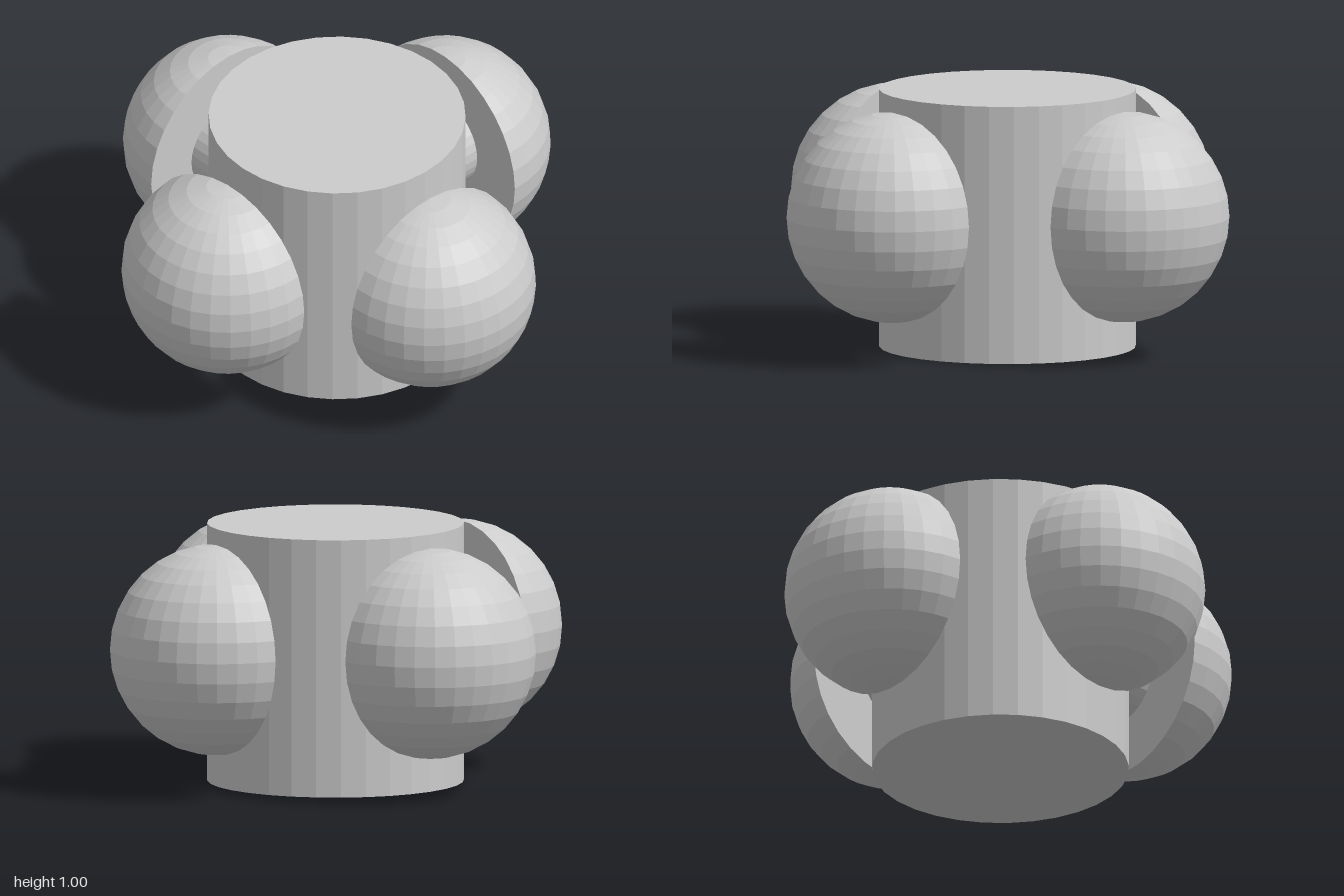
import * as THREE from 'three';

const RADIUS = 0.407;

export function createModel() {
  const model = new THREE.Group();
  model.name = 'drumWithDomes';
  const material = new THREE.MeshStandardMaterial({ color: 0xcccccc, flatShading: true });

  function add(parent, name, geometry, x = 0, y = 0, z = 0) {
    const mesh = new THREE.Mesh(geometry, material);
    mesh.name = name;
    mesh.position.set(x, y, z);
    parent.add(mesh);
    return mesh;
  }

  // Central drum
  add(model, 'drum', new THREE.CylinderGeometry(0.495, 0.495, 1, 32), -0.003, 0.5, 0.003);

  // Half spheres with vertical poles, closed by a flat disc on the inner side
  const domeGeometry = new THREE.SphereGeometry(RADIUS, 16, 16, 0, Math.PI);
  const discGeometry = new THREE.CircleGeometry(RADIUS, 32).rotateY(Math.PI);
  const pegGeometry = new THREE.CylinderGeometry(0.18, 0.18, 0.32, 32).rotateX(Math.PI / 2);

  // Each dome turns by its own slight yaw; its peg stays square to the drum
  const sides = [
    { name: 'front', turn: 0, yaw: 0.068, dome: [-0.005, 0.58], peg: [0.005, 0.465, 0.45] },
    { name: 'left', turn: Math.PI / 2, yaw: -0.024, dome: [0.59, 0.065], peg: [0.45, 0.55, 0.04] },
    { name: 'back', turn: Math.PI, yaw: -0.03, dome: [-0.022, -0.583], peg: [-0.015, 0.578, -0.45] },
    { name: 'right', turn: -Math.PI / 2, yaw: 0, dome: [-0.592, 0.025], peg: [-0.45, 0.55, 0.04] },
  ];

  for (const side of sides) {
    const dome = new THREE.Group();
    dome.name = side.name + 'Dome';
    dome.position.set(side.dome[0], 0.557, side.dome[1]);
    dome.rotation.y = side.turn + side.yaw;
    add(dome, side.name + 'DomeShell', domeGeometry);
    add(dome, side.name + 'DomeFlatFace', discGeometry);
    model.add(dome);

    add(model, side.name + 'Peg', pegGeometry, ...side.peg).rotation.y = side.turn;
  }
  return model;
}
